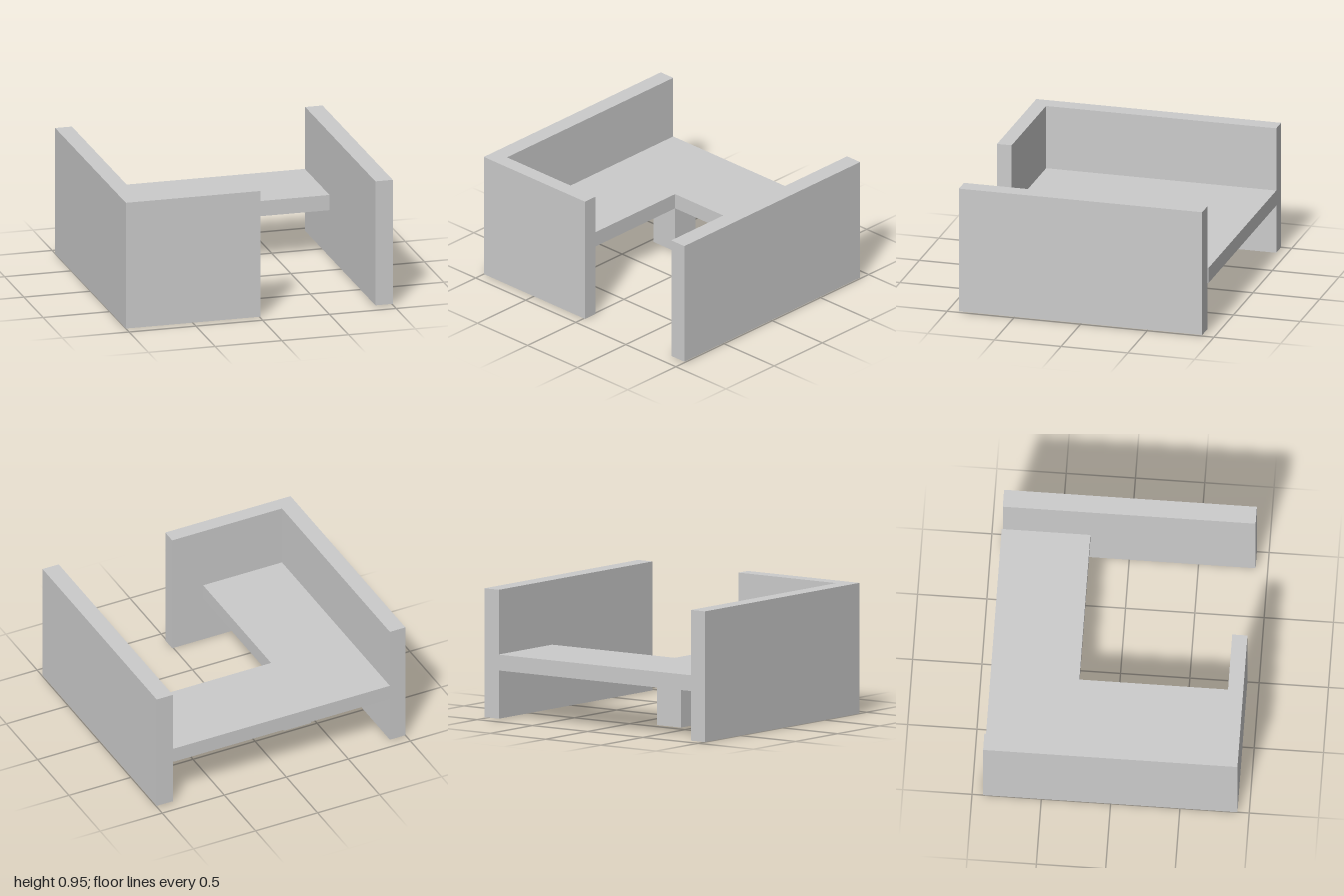
import * as THREE from 'three';

const material = new THREE.MeshStandardMaterial({ color: 0xcccccc, flatShading: true });

// Extrudes a plan outline of [x, z] points upward from y0 to y1.
function slab(name, points, y0, y1) {
  const shape = new THREE.Shape(points.map(([x, z]) => new THREE.Vector2(x, -z)));
  const geometry = new THREE.ExtrudeGeometry(shape, { depth: y1 - y0, bevelEnabled: false });
  geometry.rotateX(-Math.PI / 2).translate(0, y0, 0);
  const mesh = new THREE.Mesh(geometry, material);
  mesh.name = name;
  return mesh;
}

// Box given by its lower and upper corners.
function block(name, [x0, y0, z0], [x1, y1, z1]) {
  const geometry = new THREE.BoxGeometry(x1 - x0, y1 - y0, z1 - z0);
  const mesh = new THREE.Mesh(geometry, material);
  mesh.position.set((x0 + x1) / 2, (y0 + y1) / 2, (z0 + z1) / 2);
  mesh.name = name;
  return mesh;
}

export function createModel() {
  const model = new THREE.Group();
  model.name = 'cornerDesk';

  // L-shaped upright: long side wall with a shorter front return
  model.add(slab('cornerPanel', [
    [-1, -0.92], [-1, 0.915], [0.01, 0.915], [0.01, 0.805], [-0.875, 0.805], [-0.875, -0.92],
  ], 0, 0.95));

  // L-shaped worktop between the uprights
  model.add(slab('desktop', [
    [-0.875, -0.92], [-0.875, 0.805], [-0.24, 0.805], [-0.24, -0.28], [0.87, -0.28], [0.87, -0.92],
  ], 0.36, 0.475));

  // Free-standing upright at the other end
  model.add(block('sidePanel', [0.87, 0.008, -0.912], [1, 0.945, 0.912]));

  // Square leg beneath the inner corner of the worktop
  model.add(block('cornerLeg', [-0.455, 0.01, -0.49], [-0.24, 0.36, -0.28]));

  return model;
}
